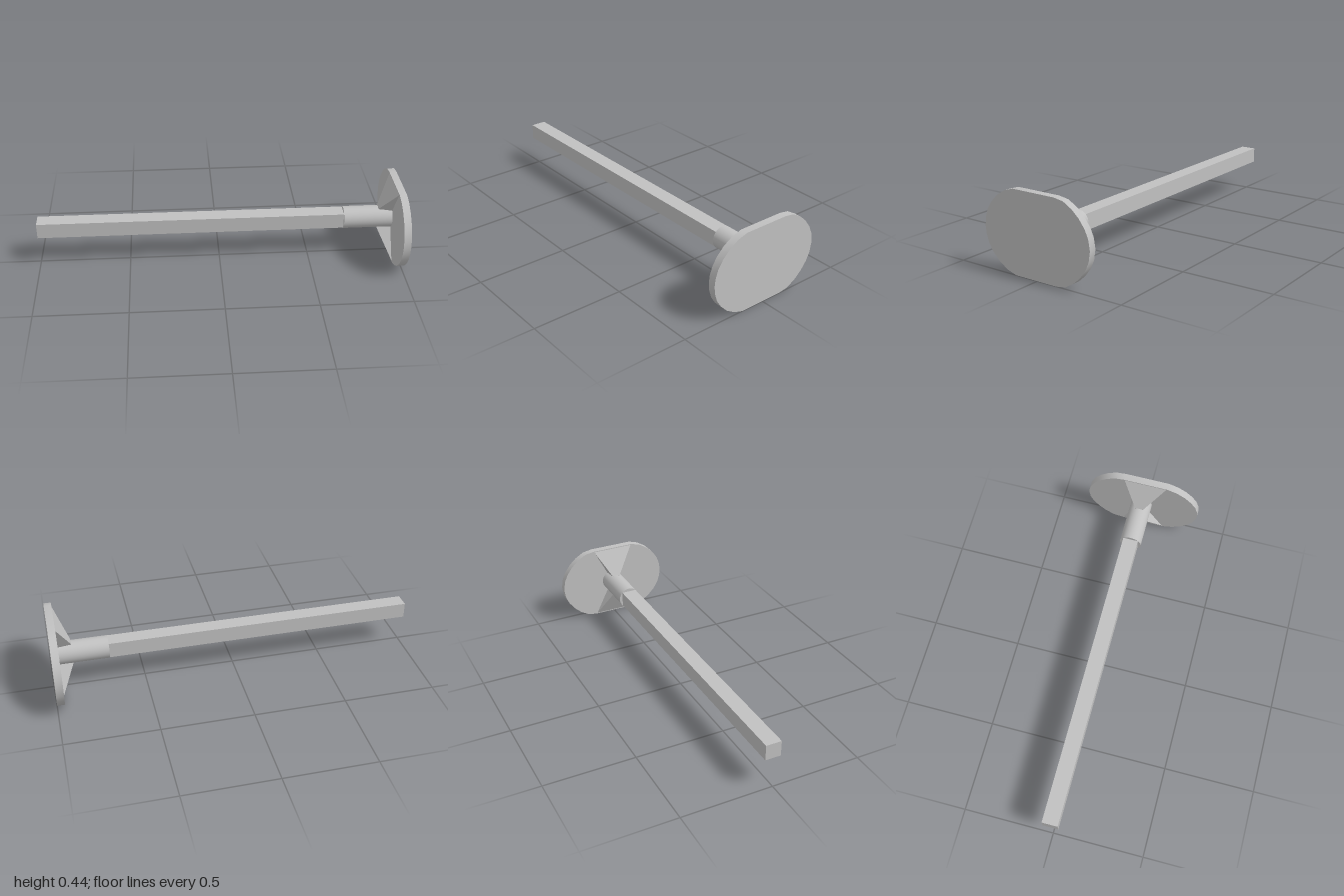
import * as THREE from 'three';
import { toCreasedNormals } from 'three/addons/utils/BufferGeometryUtils.js';

const AXIS_Y = 0.22, AXIS_Z = -0.007;   // shared axis of rod and collar

export function createModel() {
  const group = new THREE.Group();
  const grey = new THREE.MeshStandardMaterial({ color: 0xc0c0c0 });
  const add = (name, geometry) => {
    const mesh = new THREE.Mesh(geometry, grey);
    mesh.name = name;
    group.add(mesh);
    return mesh;
  };

  // Square rod
  add('rod', new THREE.BoxGeometry(1.7, 0.086, 0.086)).position.set(-0.15, AXIS_Y, AXIS_Z);

  // Round collar
  const collar = new THREE.CylinderGeometry(0.0615, 0.0615, 0.275, 40).rotateZ(Math.PI / 2);
  add('collar', collar).position.set(0.8275, AXIS_Y, AXIS_Z);

  // Rounded end plate with flat top and bottom: upper half (z, height over middle), mirrored below
  const half = [
    [0.327, 0], [0.323, 0.04], [0.308, 0.087], [0.28, 0.13], [0.24, 0.17], [0.19, 0.201], [0.135, 0.218],
    [-0.12, 0.218], [-0.175, 0.209], [-0.225, 0.18], [-0.265, 0.144], [-0.298, 0.1], [-0.318, 0.056], [-0.327, 0],
  ];
  const lower = half.slice(1, -1).reverse().map(([z, h]) => [z, -h]);
  const outline = [...half, ...lower].map(([z, h]) => new THREE.Vector2(-z, h));
  const plate = new THREE.ExtrudeGeometry(new THREE.Shape(outline), { depth: 0.04, bevelEnabled: false });
  plate.rotateY(Math.PI / 2);
  add('endPlate', toCreasedNormals(plate, 0.6)).position.set(0.96, 0.218, 0);

  // Flared braces from the collar to the plate's flat edges, above and below
  const brace = (s) => {
    const y = (h) => AXIS_Y - 0.002 + s * h;
    const B0 = [0.962, y(0.217), -0.118], B1 = [0.962, y(0.217), 0.13];
    const T0 = [0.885, y(0.0625), -0.03], T1 = [0.885, y(0.0625), 0.017];
    const C = [0.962, y(0), AXIS_Z], D = [0.885, y(0), AXIS_Z];
    const faces = [[T0, T1, B1], [T0, B1, B0], [T1, C, B1], [T1, D, C], [T0, B0, C], [T0, C, D], [T0, D, T1], [B0, B1, C]];
    const corners = faces.flatMap(([a, b, c]) => (s > 0 ? [a, b, c] : [a, c, b]));
    const geometry = new THREE.BufferGeometry();
    geometry.setAttribute('position', new THREE.Float32BufferAttribute(corners.flat(), 3));
    geometry.computeVertexNormals();
    return geometry;
  };
  add('upperBrace', brace(1));
  add('lowerBrace', brace(-1));

  return group;
}
